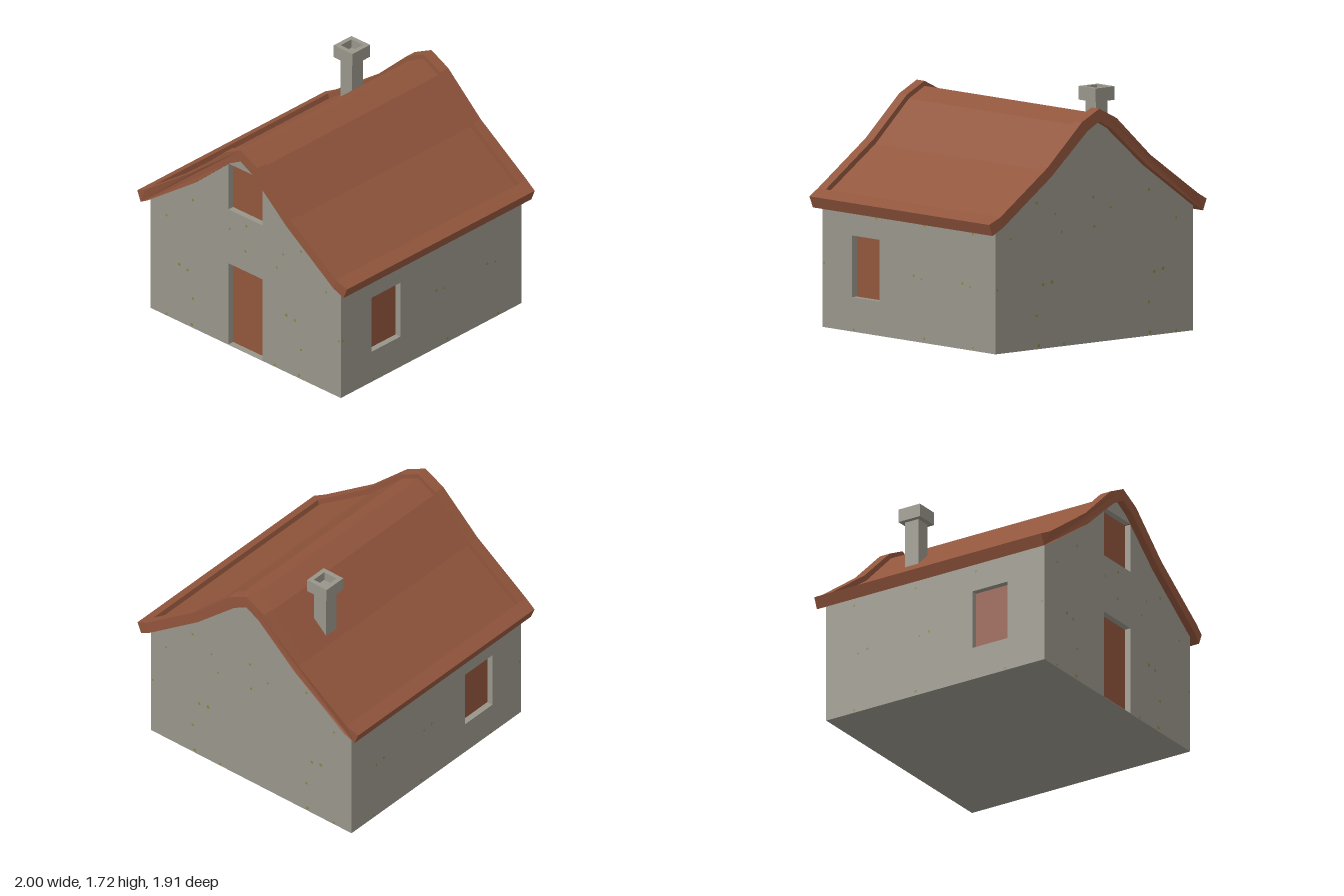
import * as THREE from 'three';
import { mergeGeometries } from 'three/addons/utils/BufferGeometryUtils.js';

const material = (name, color) => new THREE.MeshStandardMaterial({ name, color });

// Right half of the roof section, from ridge to eaves
const OUTER = [[0, 1.635], [0.16, 1.555], [0.47, 1.27], [0.907, 0.962], [0.998, 0.915]];
const PANEL = [[0, 1.6], [0.143, 1.525], [0.45, 1.238], [0.907, 0.92]];
const UNDER = [[0, 1.547], [0.11, 1.487], [0.44, 1.2], [0.885, 0.885], [0.966, 0.835]];

const mirrorLine = (pts) => [...pts.slice(1).reverse().map(([x, y]) => [-x, y]), ...pts];
const toShape = (pts) => new THREE.Shape(pts.map(([x, y]) => new THREE.Vector2(x, y)));
const rect = (x0, x1, y0, y1) => [[x0, y0], [x1, y0], [x1, y1], [x0, y1]];

function extrude(shape, z0, z1) {
  const geo = new THREE.ExtrudeGeometry(shape, { depth: z1 - z0, bevelEnabled: false });
  return geo.translate(0, 0, z0);
}

// Closed gable outline tucked slightly into the roof, with an optional notch in its base
function gable(halfWidth, notch = []) {
  const top = mirrorLine([...UNDER.slice(0, 3), [halfWidth, 0.885 - (halfWidth - 0.885) * 0.6]]);
  const lifted = top.map(([x, y]) => [x, y + 0.02]);
  return toShape([[-halfWidth, 0], ...lifted, [halfWidth, 0], ...notch]);
}

export function createModel() {
  const house = new THREE.Group();
  house.name = 'cottage';
  const plaster = material('plaster', 0x98958a);
  const clay = material('clay', 0x91553c);
  const moss = material('moss', 0x87853a);

  const add = (name, geo, mat) => {
    const mesh = new THREE.Mesh(geo, mat);
    mesh.name = name;
    house.add(mesh);
    return mesh;
  };

  const W = 0.907, RECESS = 0.05, IN = W - RECESS, D = 0.163;

  // Solid core behind the recesses
  add('wallCore', extrude(gable(IN), -0.9, IN), plaster);
  add('backWall', extrude(gable(W), -0.904, -0.88), plaster);

  // Front wall with doorway and loft opening
  const front = gable(W, [[D, 0], [D, 0.65], [-D, 0.65], [-D, 0]]);
  front.holes.push(toShape(rect(-D, D, 1.08, 1.445)));
  add('frontWall', extrude(front, IN, W), plaster);
  const sill = new THREE.BoxGeometry(2 * D, 0.004, RECESS);
  add('threshold', sill.translate(0, 0.002, IN + RECESS / 2), plaster);

  // Door and loft shutter
  const frontPlate = (name, y0, y1) => add(name, extrude(toShape(rect(-D, D, y0, y1)), IN, IN + 0.004), clay);
  frontPlate('door', 0.004, 0.65);
  frontPlate('loftShutter', 1.08, 1.445);

  // Side walls, each with a recessed window
  const windowRect = rect(0.31, 0.6, 0.24, 0.67);
  for (const side of [1, -1]) {
    const label = side > 0 ? 'left' : 'right';
    const wall = toShape(rect(-0.9, IN, 0, 0.88));
    wall.holes.push(toShape(windowRect));
    const wallGeo = extrude(wall, 0, RECESS).rotateY(-Math.PI / 2);
    add(label + 'Wall', wallGeo.translate(side > 0 ? W : -IN, 0, 0), plaster);
    const pane = extrude(toShape(windowRect), 0, 0.004).rotateY(-Math.PI / 2);
    add(label + 'Window', pane.translate(side > 0 ? IN + 0.004 : -IN, 0, 0), clay);
  }

  // Sunken roof panel
  const EDGE = 0.957, RIM = 0.875;
  const panelUnder = [...UNDER.slice(0, 4), [0.907, 0.872]];
  const panel = toShape([...mirrorLine(PANEL), ...mirrorLine(panelUnder).reverse()]);
  add('roofPanel', extrude(panel, -RIM, RIM), clay);

  // Raised rims at the gables, with the tips pulled in a little
  const rimShape = toShape([...mirrorLine(OUTER), ...mirrorLine(UNDER).reverse()]);
  for (const end of [1, -1]) {
    const geo = extrude(rimShape, end > 0 ? RIM : -EDGE, end > 0 ? EDGE : -RIM);
    const p = geo.attributes.position;
    for (let i = 0; i < p.count; i++) {
      if (Math.abs(p.getX(i)) > 0.93 && Math.abs(p.getZ(i)) > 0.9) p.setZ(i, end * 0.942);
    }
    geo.computeVertexNormals();
    add(end > 0 ? 'frontGableRim' : 'backGableRim', geo, clay);
  }

  // Raised rims along the eaves
  for (const side of [1, -1]) {
    const section = [OUTER[3], OUTER[4], UNDER[4], UNDER[3]].map(([x, y]) => [side * x, y]);
    add(side > 0 ? 'leftEaves' : 'rightEaves', extrude(toShape(section), -RIM, RIM), clay);
  }

  // Chimney: shaft and a hollow cap
  const chimney = new THREE.Group();
  chimney.name = 'chimney';
  chimney.position.set(-0.35, 0, -0.528);
  const shaft = new THREE.Mesh(new THREE.BoxGeometry(0.11, 0.45, 0.11), plaster);
  shaft.name = 'chimneyShaft';
  shaft.position.y = 1.425;
  const capShape = toShape(rect(-0.089, 0.089, -0.089, 0.089));
  capShape.holes.push(toShape(rect(-0.055, 0.055, -0.055, 0.055)));
  const cap = new THREE.Mesh(extrude(capShape, 0, 0.095).rotateX(-Math.PI / 2), plaster);
  cap.name = 'chimneyCap';
  cap.position.y = 1.62;
  chimney.add(shaft, cap);
  house.add(chimney);

  // Moss flecks: [across, height, radius]
  const gableFlecks = [
    [-0.5, 1.02, 0.011], [0.01, 1.015, 0.011], [0.53, 1.02, 0.011], [-0.15, 0.93, 0.009],
    [0.36, 0.93, 0.009], [-0.75, 0.8, 0.01], [0, 0.81, 0.011], [0.3, 0.8, 0.009],
    [0.77, 0.79, 0.009], [-0.63, 0.457, 0.014], [-0.55, 0.443, 0.012], [0.39, 0.457, 0.014],
    [0.47, 0.447, 0.012], [0.89, 0.445, 0.009], [-0.5, 0.235, 0.011], [0.53, 0.235, 0.011],
    [-0.51, 0.025, 0.013], [0.51, 0.025, 0.013], [-0.75, 0.015, 0.01], [0.28, 0.015, 0.01],
  ];
  const sideFlecks = [
    [0.89, 0.447, 0.009], [-0.05, 0.458, 0.011], [-0.13, 0.443, 0.008], [-0.56, 0.458, 0.011],
    [-0.64, 0.443, 0.009], [0.34, 0.815, 0.009], [-0.16, 0.815, 0.009], [-0.67, 0.815, 0.01],
    [-0.16, 0.03, 0.011], [0.58, 0.015, 0.009], [-0.67, 0.02, 0.009],
  ];
  const flecks = (name, list, angle, offset, flip) => {
    const dots = list.map(([a, y, r]) => new THREE.CircleGeometry(r, 6).translate(flip * a, y, offset));
    add(name, mergeGeometries(dots).rotateY(angle), moss);
  };
  flecks('frontMoss', gableFlecks, 0, W + 0.002, 1);
  flecks('backMoss', gableFlecks, Math.PI, 0.906, -1);
  flecks('leftMoss', sideFlecks, Math.PI / 2, W + 0.002, -1);
  flecks('rightMoss', sideFlecks, -Math.PI / 2, W + 0.002, 1);

  return house;
}
